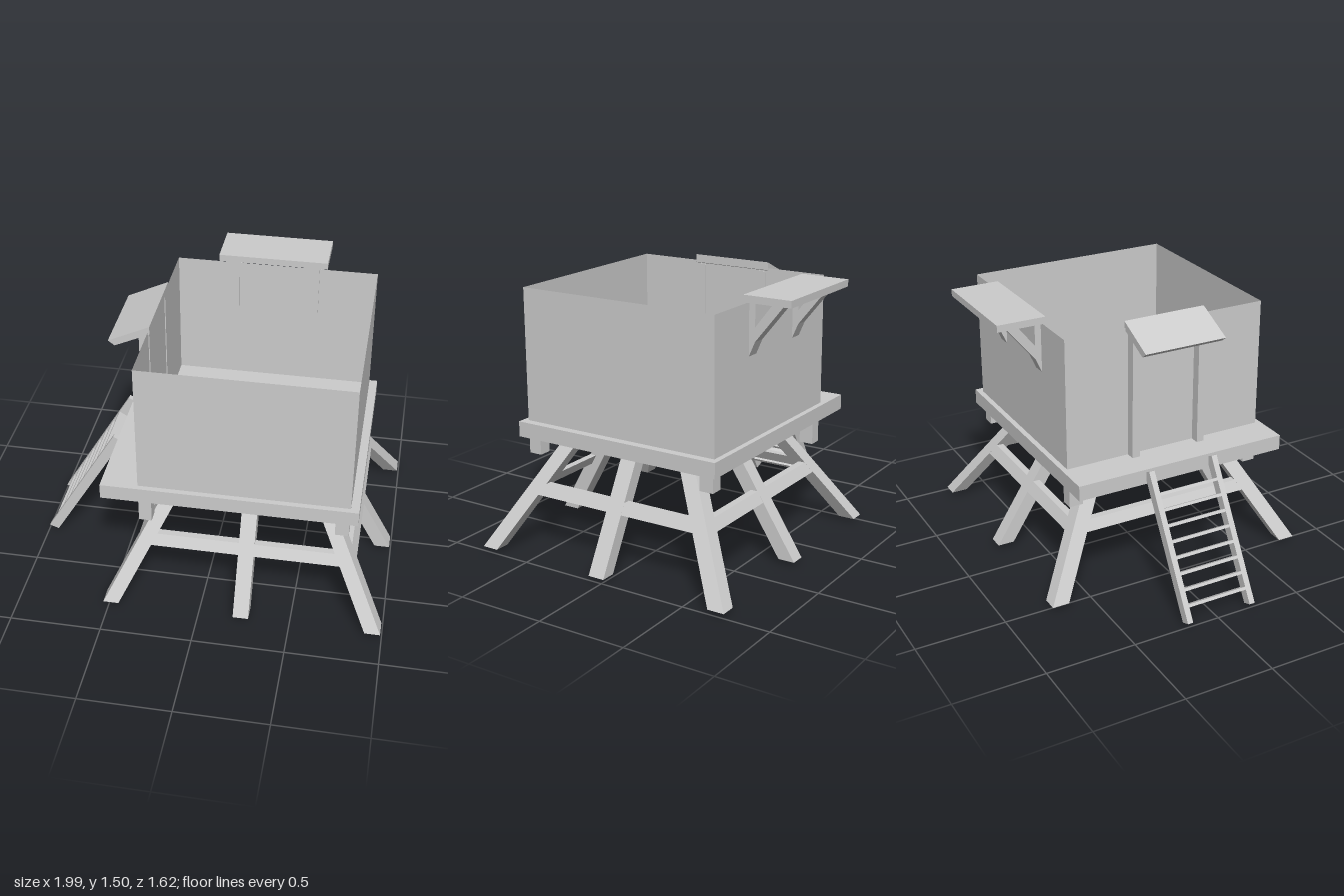
import * as THREE from 'three';

export function createModel() {
  const model = new THREE.Group();
  const grey = new THREE.MeshStandardMaterial({ color: 0xcccccc });
  grey.name = 'plainGrey';
  const greySheet = new THREE.MeshStandardMaterial({ color: 0xcccccc, side: THREE.DoubleSide });
  greySheet.name = 'plainGreySheet';

  function add(name, geometry, material = grey) {
    const mesh = new THREE.Mesh(geometry, material);
    mesh.name = name;
    model.add(mesh);
    return mesh;
  }

  // Box given by its limits on each axis
  function block(name, x0, x1, y0, y1, z0, z1) {
    const g = new THREE.BoxGeometry(x1 - x0, y1 - y0, z1 - z0);
    return add(name, g.translate((x0 + x1) / 2, (y0 + y1) / 2, (z0 + z1) / 2));
  }

  // Leaning beam with level ends: a box sheared from point a up to point b
  function beam(name, a, b, w, d) {
    const g = new THREE.BoxGeometry(w, b[1] - a[1], d);
    const p = g.attributes.position;
    for (let i = 0; i < p.count; i++) {
      const end = p.getY(i) < 0 ? a : b;
      p.setXYZ(i, p.getX(i) + end[0], end[1], p.getZ(i) + end[2]);
    }
    g.computeVertexNormals();
    return add(name, g);
  }

  // Outline extruded symmetrically along z
  function slab(points, depth) {
    const shape = new THREE.Shape(points.map(([x, y]) => new THREE.Vector2(x, y)));
    return new THREE.ExtrudeGeometry(shape, { depth, bevelEnabled: false }).translate(0, 0, -depth / 2);
  }

  // Platform deck
  block('platform', -0.55, 0.825, 0.635, 0.72, -0.58, 0.66);

  // Open-topped room of thin walls
  const [x0, x1, z0, z1, base, top] = [-0.35, 0.78, -0.55, 0.63, 0.72, 1.45];
  const cx = (x0 + x1) / 2, cz = (z0 + z1) / 2, cy = (base + top) / 2;
  for (const [name, w, x, z, turn] of [
    ['frontWall', x1 - x0, cx, z1, 0],
    ['backWall', x1 - x0, cx, z0, Math.PI],
    ['leftWall', z1 - z0, x1, cz, Math.PI / 2],
    ['rightWall', z1 - z0, x0, cz, -Math.PI / 2],
  ]) {
    add(name, new THREE.PlaneGeometry(w, top - base).rotateY(turn).translate(x, cy, z), greySheet);
  }

  // Post ends below the deck corners
  for (const [a, b] of [[0.555, 0.63], [-0.54, -0.46]]) {
    block('rightCornerPost', -0.35, -0.28, 0.49, 0.64, a, b);
    block('leftCornerPost', 0.705, 0.778, 0.535, 0.64, a, b);
  }

  // Splayed legs: centre line interpolated between ground and deck
  const foot = 0.02, head = 0.64;
  const at = (lo, hi, y) => lo + (hi - lo) * (y - foot) / (head - foot);
  const xs = [[-0.487, -0.165], [0.235, 0.235], [0.95, 0.612]];
  const zs = [[0.76, 0.415], [0.04, 0.04], [-0.69, -0.295]];
  xs.forEach((lx, i) => zs.forEach((lz, j) => {
    if (j === 1 && i !== 2) return;
    beam('leg', [lx[0], foot, lz[0]], [at(...lx, 0.68), 0.68, at(...lz, 0.68)], 0.085, 0.095);
  }));

  // Braces that lean with the legs, flush with their outer faces
  const lo = 0.322, hi = 0.38;
  const bx = (at(...xs[0], 0.35) + at(...xs[2], 0.35)) / 2;
  const bz = (at(...zs[0], 0.35) + at(...zs[2], 0.35)) / 2;
  const bw = at(...xs[2], 0.35) - at(...xs[0], 0.35);
  const bd = at(...zs[0], 0.35) - at(...zs[2], 0.35);
  for (const [lz, s] of [[zs[0], 1], [zs[2], -1]]) {
    beam('crossBrace', [bx, lo, at(...lz, lo) + s * 0.027], [bx, hi, at(...lz, hi) + s * 0.027], bw, 0.04);
  }
  for (const [lx, s] of [[xs[2], 1], [xs[0], -1]]) {
    beam('sideBrace', [at(...lx, lo) + s * 0.022, lo, bz], [at(...lx, hi) + s * 0.022, hi, bz], 0.04, bd);
  }

  // Ladder rails and tilted rungs
  const rail = [[-1, 0.02], [-0.948, 0], [-0.55, 0.66], [-0.55, 0.705], [-0.58, 0.72]];
  for (const z of [0.213, -0.17]) add('ladderRail', slab(rail, 0.032).translate(0, 0, z));
  const slope = 0.42 / 0.7, tilt = -Math.atan(slope);
  for (let k = 0; k < 8; k++) {
    const y = 0.082 + 0.0735 * k;
    const rung = add('ladderRung', new THREE.BoxGeometry(0.055, 0.016, 0.37));
    rung.rotation.z = tilt;
    rung.position.set(-0.9725 + (y - 0.012) * slope, y, 0.0215);
  }

  // Doorway posts and the small sloping roof above the ladder
  for (const z of [-0.165, 0.235]) block('doorPost', -0.402, -0.345, 0.72, 1.43, z - 0.022, z + 0.022);
  const roof = [[-0.565, 1.38], [-0.53, 1.353], [-0.34, 1.44], [-0.34, 1.485]];
  add('doorRoof', slab(roof, 0.475).translate(0, 0, 0.035));

  // Rear shelf on two diagonal brackets
  block('rearShelf', -0.115, 0.5, 1.457, 1.495, -0.812, -0.54);
  const bracket = [[-0.54, 1.17], [-0.55, 1.17], [-0.585, 1.25], [-0.755, 1.46],
    [-0.69, 1.46], [-0.585, 1.325], [-0.585, 1.46], [-0.54, 1.46]];
  for (const x of [-0.035, 0.418]) {
    add('shelfBracket', slab(bracket, 0.075).rotateY(-Math.PI / 2).translate(x, 0, 0));
  }

  return model;
}
